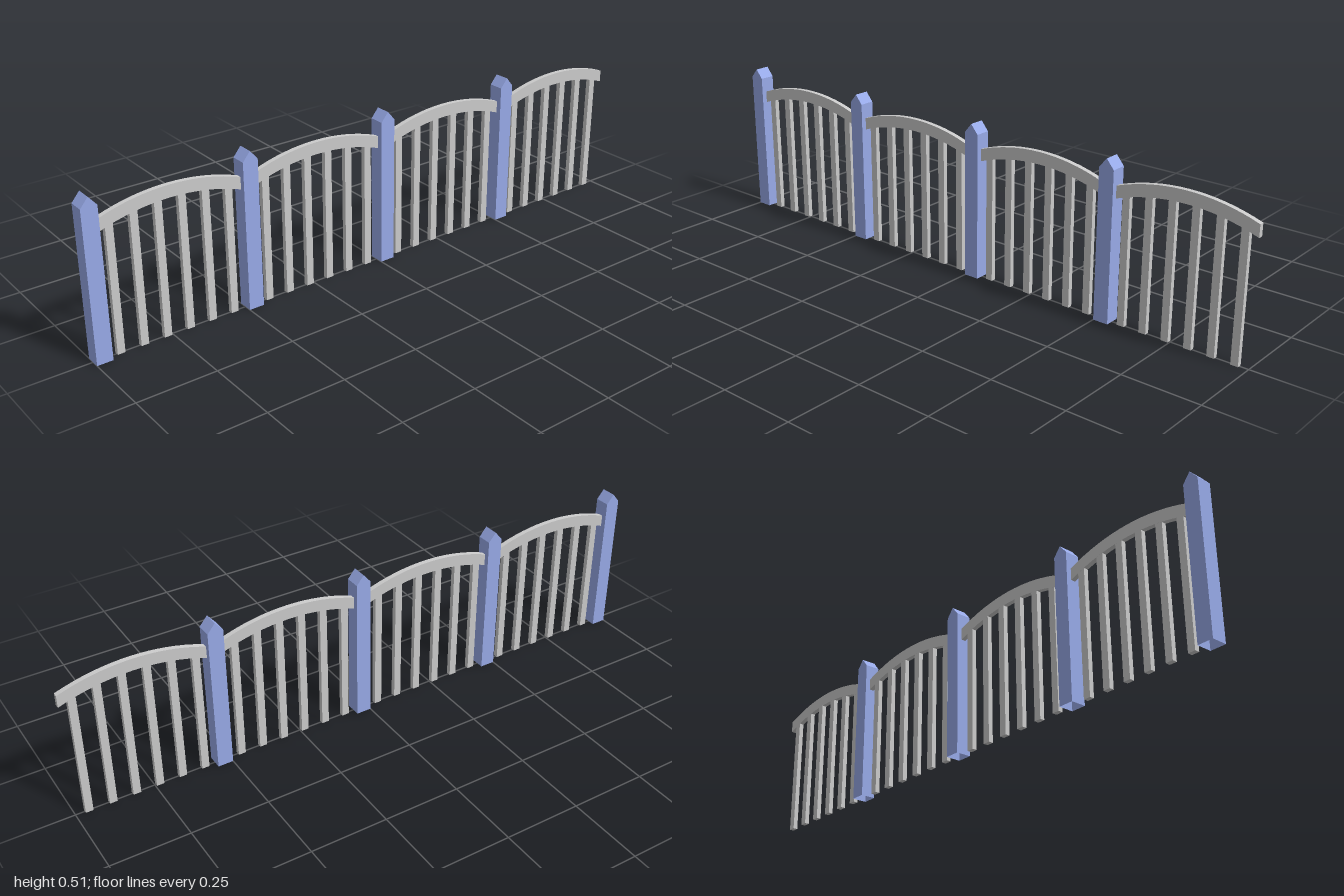
import * as THREE from 'three';

const BAY = 0.5, POST_W = 0.05, RAIL_Z = 0.016, HALF = (BAY - POST_W) / 2;
// Height of the rail's arched upper edge, u measured from the middle of a bay
const R = 0.653;
const archTop = (u) => 0.47 - R + Math.sqrt(R * R - u * u);

function extrude(points, depth) {
  const shape = new THREE.Shape(points.map(([x, y]) => new THREE.Vector2(x, y)));
  return new THREE.ExtrudeGeometry(shape, { depth, bevelEnabled: false }).translate(0, 0, -depth / 2);
}

// Post with a gabled tip, left open underneath
function postGeometry() {
  const w = POST_W / 2;
  const geo = extrude([[-w, 0], [w, 0], [w, 0.48], [0, 0.51], [-w, 0.48]], 0.05);
  const p = geo.attributes.position.array, kept = [];
  for (let i = 0; i < p.length; i += 9) {
    if (Math.max(p[i + 1], p[i + 4], p[i + 7]) > 0.001) kept.push(...p.slice(i, i + 9));
  }
  const open = new THREE.BufferGeometry();
  open.setAttribute('position', new THREE.Float32BufferAttribute(kept, 3));
  open.computeVertexNormals();
  return open;
}

// Arched rail of constant height
function railGeometry() {
  const upper = [], lower = [], n = 16;
  for (let i = 0; i <= n; i++) {
    const u = -HALF + (2 * HALF * i) / n;
    lower.push([u, archTop(u) - 0.039]);
    upper.unshift([u, archTop(u)]);
  }
  return extrude([...lower, ...upper], RAIL_Z);
}

export function createModel() {
  const model = new THREE.Group();
  model.name = 'fence';
  const grey = new THREE.MeshStandardMaterial({ color: 0xcccccc, flatShading: true });
  const blue = new THREE.MeshStandardMaterial({ color: 0x98aae8, flatShading: true, side: THREE.DoubleSide });
  const postGeo = postGeometry(), railGeo = railGeometry();

  const add = (parent, name, geo, mat, x, y = 0) => {
    const mesh = new THREE.Mesh(geo, mat);
    mesh.name = name;
    mesh.position.set(x, y, 0);
    parent.add(mesh);
  };

  for (let b = 0; b < 4; b++) {
    const bay = new THREE.Group();
    bay.name = 'fenceBay';
    bay.position.x = -0.975 + b * BAY;
    add(bay, 'post', postGeo, blue, 0);
    add(bay, 'archedRail', railGeo, grey, BAY / 2);
    // Pickets reach just inside the rail
    for (let i = 0; i < 6; i++) {
      const x = 0.059 + i * 0.075;
      const h = archTop(x - BAY / 2) - 0.02;
      add(bay, 'picket', new THREE.BoxGeometry(0.024, h, RAIL_Z - 0.0005), grey, x, h / 2);
    }
    model.add(bay);
  }
  return model;
}
